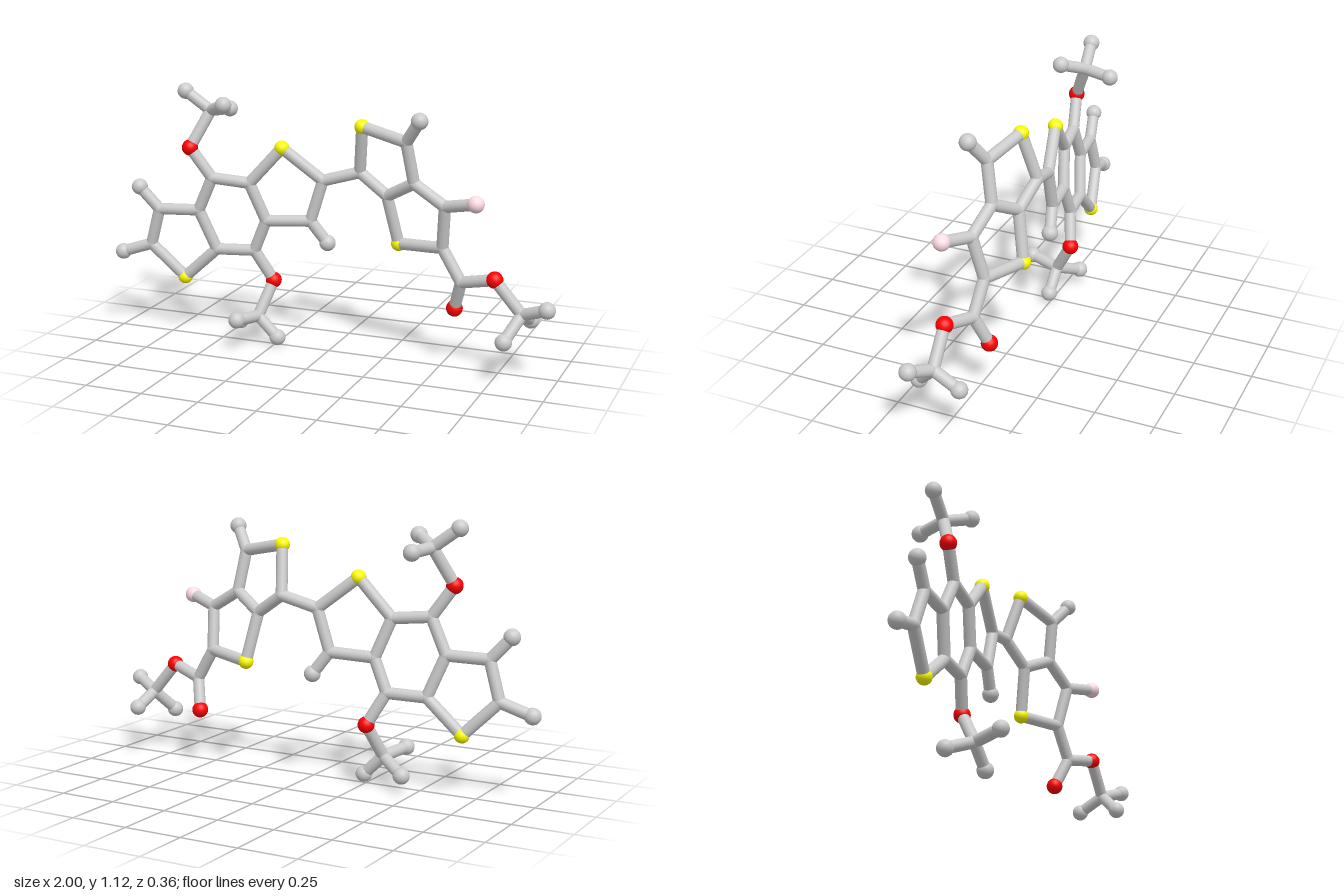
import * as THREE from 'three';

// Ball radius and colour for each kind of joint
const KINDS = {
  carbon: { r: 0.026, color: 0xcccccc },
  hydrogen: { r: 0.035, color: 0xcccccc },
  oxygen: { r: 0.035, color: 0xff0000 },
  sulfur: { r: 0.032, color: 0xffff00 },
  fluorine: { r: 0.035, color: 0xffdde4 },
};
const BOND_RADIUS = 0.025;

// Each section: atoms by key (c, h, o, s, f) with position, and bonded pairs
const SECTIONS = {
  fusedCore: {
    atoms: {
      c1: [-0.83, 0.405, 0.026], c2: [-0.78, 0.57, 0.038], c3: [-0.6, 0.575, 0.015],
      c4: [-0.53, 0.4, -0.014], s1: [-0.685, 0.26, -0.009], h1: [-0.965, 0.36, 0.04],
      h2: [-0.865, 0.665, 0.055], c5: [-0.53, 0.725, 0.022], c6: [-0.365, 0.71, -0.002],
      c9: [-0.3, 0.545, -0.028], c10: [-0.36, 0.405, -0.036], s2: [-0.22, 0.87, -0.02],
      c7: [-0.05, 0.735, -0.06], c8: [-0.105, 0.555, -0.056], h8: [-0.035, 0.46, -0.076],
    },
    bonds: 'h1-c1 c1-c2 c2-h2 c2-c3 c3-c4 c4-s1 s1-c1 c3-c5 c5-c6 c6-c9 c9-c10 c10-c4 c6-s2 s2-c7 c7-c8 c8-c9 c8-h8',
  },
  upperMethoxy: {
    atoms: {
      o1: [-0.62, 0.855, 0.045], c20: [-0.55, 1.01, -0.02], h20: [-0.66, 1.09, -0.005],
      h21: [-0.455, 1.05, 0.055], h22: [-0.52, 1.0, -0.147],
    },
    bonds: 'c5-o1 o1-c20 c20-h20 c20-h21 c20-h22',
  },
  lowerMethoxy: {
    atoms: {
      o2: [-0.285, 0.27, -0.07], c21: [-0.325, 0.125, 0.01], h23: [-0.44, 0.07, -0.055],
      h24: [-0.235, 0.038, 0.01], h25: [-0.365, 0.14, 0.147],
    },
    bonds: 'c10-o2 o2-c21 c21-h23 c21-h24 c21-h25',
  },
  sideRings: {
    atoms: {
      c11: [0.11, 0.78, -0.08], s3: [0.14, 0.985, -0.022], c12: [0.35, 0.945, 0.03],
      h12: [0.42, 1.043, 0.077], c13: [0.375, 0.77, 0], c14: [0.24, 0.695, -0.055],
      s4: [0.28, 0.485, -0.093], c15: [0.495, 0.505, -0.02], c16: [0.515, 0.69, 0.022],
      f1: [0.66, 0.725, 0.078],
    },
    bonds: 'c7-c11 c11-s3 s3-c12 c12-h12 c12-c13 c13-c14 c14-c11 c14-s4 s4-c15 c15-c16 c16-c13 c16-f1',
  },
  esterTail: {
    atoms: {
      c17: [0.58, 0.37, -0.01], o3: [0.54, 0.24, -0.06], o4: [0.735, 0.41, 0.037],
      c18: [0.85, 0.275, 0.032], h30: [0.963, 0.32, 0.08], h31: [0.8, 0.18, 0.122],
      h32: [0.86, 0.22, -0.083],
    },
    bonds: 'c15-c17 c17-o3 c17-o4 o4-c18 c18-h30 c18-h31 c18-h32',
  },
};

export function createModel() {
  const model = new THREE.Group();
  model.name = 'molecule';
  const bondMaterial = new THREE.MeshStandardMaterial({ color: 0xcccccc });
  const bondGeometry = new THREE.CylinderGeometry(BOND_RADIUS, BOND_RADIUS, 1, 20, 1, true);
  const balls = {};
  for (const [kind, { r, color }] of Object.entries(KINDS)) {
    balls[kind[0]] = {
      kind,
      geometry: new THREE.SphereGeometry(r, 24, 16),
      material: new THREE.MeshStandardMaterial({ color }),
    };
  }

  const up = new THREE.Vector3(0, 1, 0);
  const positions = {};
  for (const [name, { atoms, bonds }] of Object.entries(SECTIONS)) {
    const section = new THREE.Group();
    section.name = name;
    model.add(section);

    // Balls at the joints and ends
    for (const [key, p] of Object.entries(atoms)) {
      positions[key] = new THREE.Vector3(...p);
      const { kind, geometry, material } = balls[key[0]];
      const ball = new THREE.Mesh(geometry, material);
      ball.name = kind + 'Ball';
      ball.position.copy(positions[key]);
      section.add(ball);
    }

    // Rods between them
    for (const pair of bonds.split(' ')) {
      const [a, b] = pair.split('-').map((key) => positions[key]);
      const along = b.clone().sub(a);
      const rod = new THREE.Mesh(bondGeometry, bondMaterial);
      rod.name = 'bondRod';
      rod.position.copy(a).add(b).multiplyScalar(0.5);
      rod.scale.y = along.length();
      rod.quaternion.setFromUnitVectors(up, along.normalize());
      section.add(rod);
    }
  }
  return model;
}
